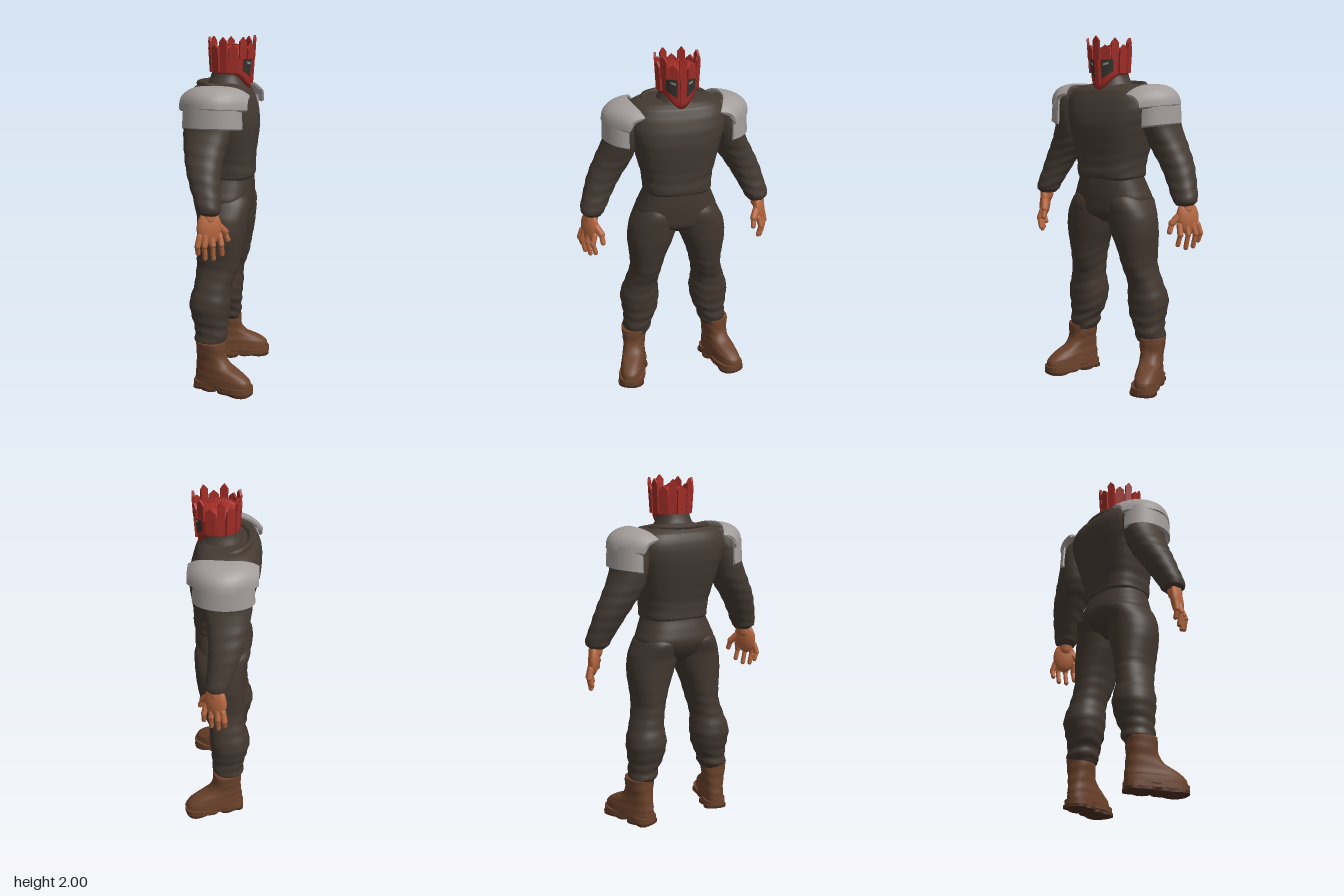
import * as THREE from 'three';
import { toCreasedNormals } from 'three/addons/utils/BufferGeometryUtils.js';

const mat = (name, color) => {
  const m = new THREE.MeshStandardMaterial({ color });
  m.name = name;
  return m;
};

// Skin rows of [x, y, z] points; closed rows wrap round and may get end caps.
function loft(rows, closed = true) {
  const n = rows[0].length, pos = rows.flat(2), idx = [];
  for (let i = 0; i < rows.length - 1; i++) {
    for (let j = 0; j < (closed ? n : n - 1); j++) {
      const k = (j + 1) % n, a = i * n + j, b = a + n, c = i * n + k, d = c + n;
      idx.push(a, b, c, b, d, c);
    }
  }
  if (closed) {
    [0, rows.length - 1].forEach((r) => {
      const m = pos.length / 3;
      for (let q = 0; q < 3; q++) pos.push(rows[r].reduce((s, p) => s + p[q], 0) / n);
      for (let j = 0; j < n; j++) {
        const a = r * n + j, b = r * n + (j + 1) % n;
        if (r) idx.push(m, b, a); else idx.push(m, a, b);
      }
    });
  }
  const g = new THREE.BufferGeometry();
  g.setAttribute('position', new THREE.Float32BufferAttribute(pos, 3));
  g.setIndex(idx);
  g.computeVertexNormals();
  return g;
}

// Rounded body from [y, xMin, xMax, zMin, zMax] rows, smoothed and creased by amp(y).
function body(rows, { power = 0.9, amp = () => 0, sides = 40, steps = 6 } = {}) {
  const at = (i) => rows[Math.max(0, Math.min(rows.length - 1, i))];
  const rings = [];
  for (let i = 0; i <= (rows.length - 1) * steps; i++) {
    const k = Math.floor(i / steps), t = (i % steps) / steps;
    const [y, x0, x1, z0, z1] = at(k).map((p1, q) => {
      const p0 = at(k - 1)[q], p2 = at(k + 1)[q], p3 = at(k + 2)[q];
      if (q === 0) return p1 + (p2 - p1) * t;
      return p1 + 0.5 * t * (p2 - p0 + t * (2 * p0 - 5 * p1 + 4 * p2 - p3 + t * (3 * (p1 - p2) + p3 - p0)));
    });
    const ring = [];
    for (let j = 0; j < sides; j++) {
      const a = (j / sides) * Math.PI * 2, c = Math.cos(a), s = Math.sin(a);
      const f = 1 + amp(y) * Math.sin(y * 95 + 2.2 * Math.sin(a + 1) + Math.cos(2 * a));
      ring.push([
        (x0 + x1) / 2 + (x1 - x0) / 2 * f * Math.sign(c) * Math.abs(c) ** power, y,
        (z0 + z1) / 2 + (z1 - z0) / 2 * f * Math.sign(s) * Math.abs(s) ** power]);
    }
    rings.push(ring);
  }
  return loft(rings);
}

// Copy reflected through z = 0.
function reflect(g) {
  const m = g.clone(), p = m.attributes.position, nr = m.attributes.normal;
  for (let i = 0; i < p.count; i++) { p.setZ(i, -p.getZ(i)); nr.setZ(i, -nr.getZ(i)); }
  const src = m.index ? Array.from(m.index.array) : Array.from({ length: p.count }, (_, i) => i);
  for (let i = 0; i < src.length; i += 3) [src[i + 1], src[i + 2]] = [src[i + 2], src[i + 1]];
  m.setIndex(src);
  return m;
}

// Capsule joining two points.
function bone(a, b, r) {
  const A = new THREE.Vector3(...a), B = new THREE.Vector3(...b), d = B.clone().sub(A);
  const g = new THREE.CapsuleGeometry(r, d.length(), 5, 12);
  g.applyQuaternion(new THREE.Quaternion().setFromUnitVectors(new THREE.Vector3(0, 1, 0), d.clone().normalize()));
  return g.translate(...A.add(B).multiplyScalar(0.5).toArray());
}

// Armour plate: point(u, v) gives the outer face, thickened toward the arm.
function plate(point) {
  const rows = [];
  for (let i = 0; i <= 20; i++) {
    const u = i / 10 - 1, outer = [], inner = [];
    for (let k = 0; k <= 8; k++) {
      const p = point(u, 1 - k / 8);
      outer.push(p);
      inner.unshift([-0.02 + (p[0] + 0.02) * 0.93, p[1] - 0.01, 0.25 + (p[2] - 0.25) * 0.9]);
    }
    rows.push([...outer, ...inner]);
  }
  return toCreasedNormals(loft(rows), 0.7);
}

// Helmet wall: angle a from the face, v from lower rim to brow.
function helmetPoint(a, v, s = 1) {
  const f = Math.max(0, Math.cos(a)), low = 1.79 - 0.085 * f ** 3;
  const r = s * (1 - (0.05 + 0.08 * f) * (1 - v));
  return [0.028 + 0.118 * r * Math.cos(a), low + (1.9 - low) * v, 0.11 * r * Math.sin(a)];
}
function helmetPatch(a0, a1, v0, v1, s) {
  const rows = [];
  for (let i = 0; i <= 6; i++) {
    rows.push(Array.from({ length: 9 }, (_, j) => helmetPoint(a0 + (a1 - a0) * j / 8, v0 + (v1 - v0) * i / 6, s)));
  }
  return loft(rows, false);
}

export function createModel() {
  const model = new THREE.Group();
  const shirt = mat('shirt brown', 0x443a32), trousers = mat('trouser brown', 0x42372f);
  const leather = mat('boot leather', 0x6a422b), soleMat = mat('sole brown', 0x4f3020);
  const skin = mat('skin', 0xb4663f), steel = mat('steel grey', 0xa29c9a);
  const red = mat('helmet red', 0xa02c26), shade = mat('face shadow', 0x35322d), eyeMat = mat('eye grey', 0x8f8d82);
  const add = (g, name, m) => {
    const mesh = new THREE.Mesh(g, m);
    mesh.name = name;
    model.add(mesh);
  };
  const pair = (g, name, m) => { add(g, name + 'Left', m); add(reflect(g), name + 'Right', m); };

  // Torso, collar and cowl fold
  const sym = (rows) => rows.map(([y, a, b, z]) => [y, a, b, -z, z]);
  add(body(sym([[1.2, -0.13, 0.15, 0.18], [1.22, -0.145, 0.16, 0.193], [1.3, -0.15, 0.16, 0.2],
    [1.4, -0.175, 0.17, 0.225], [1.5, -0.2, 0.18, 0.25], [1.58, -0.213, 0.172, 0.275], [1.65, -0.21, 0.152, 0.28],
    [1.7, -0.19, 0.13, 0.255], [1.725, -0.16, 0.1, 0.21], [1.737, -0.12, 0.07, 0.13]]),
  { power: 0.72, amp: (y) => (y < 1.36 ? 0.008 : 0.002) }), 'torso', shirt);
  add(body(sym([[1.67, -0.12, 0.12, 0.13], [1.705, -0.12, 0.125, 0.125], [1.74, -0.105, 0.1, 0.108],
    [1.775, -0.09, 0.085, 0.092], [1.82, -0.08, 0.08, 0.085]])), 'collar', shirt);
  const fold = [[0.02, 1.7, -0.17], [-0.08, 1.73, -0.165], [-0.14, 1.735, -0.08], [-0.15, 1.735, 0],
    [-0.14, 1.735, 0.08], [-0.08, 1.73, 0.165], [0.02, 1.7, 0.17]].map((p) => new THREE.Vector3(...p));
  add(new THREE.TubeGeometry(new THREE.CatmullRomCurve3(fold), 40, 0.018, 8), 'cowlFold', shirt);

  // Hips and trouser legs
  add(body(sym([[0.95, -0.07, 0.07, 0.05], [1.0, -0.13, 0.14, 0.17], [1.08, -0.172, 0.152, 0.232],
    [1.15, -0.16, 0.155, 0.212], [1.22, -0.138, 0.153, 0.186]]), { power: 0.8 }), 'hips', trousers);
  pair(body([[0.26, -0.12, 0.03, 0.17, 0.3], [0.29, -0.14, 0.042, 0.155, 0.32], [0.34, -0.14, 0.045, 0.145, 0.315],
    [0.4, -0.155, 0.05, 0.115, 0.32], [0.5, -0.175, 0.06, 0.1, 0.33], [0.6, -0.15, 0.065, 0.108, 0.3],
    [0.7, -0.14, 0.1, 0.092, 0.272], [0.8, -0.14, 0.12, 0.065, 0.278], [0.9, -0.14, 0.138, 0.025, 0.288],
    [1.0, -0.145, 0.148, 0.0, 0.276], [1.08, -0.165, 0.15, 0.01, 0.238], [1.14, -0.12, 0.12, 0.03, 0.2]],
  { amp: (y) => (y < 0.42 ? 0.032 : y < 0.78 ? 0.016 : 0.004) }), 'trouserLeg', trousers);

  // Sleeves
  pair(body([[1.08, -0.045, 0.045, 0.44, 0.53], [1.1, -0.068, 0.058, 0.422, 0.552], [1.14, -0.08, 0.058, 0.4, 0.55],
    [1.2, -0.105, 0.05, 0.368, 0.532], [1.3, -0.14, 0.047, 0.31, 0.5], [1.4, -0.165, 0.06, 0.245, 0.452],
    [1.5, -0.178, 0.085, 0.215, 0.405], [1.6, -0.175, 0.095, 0.2, 0.385], [1.67, -0.15, 0.08, 0.2, 0.34],
    [1.71, -0.1, 0.03, 0.22, 0.29]], { amp: (y) => (y < 1.45 ? 0.02 : 0.004) }), 'sleeve', shirt);

  // Hands
  const palm = new THREE.SphereGeometry(1, 24, 16).scale(0.068, 0.095, 0.032);
  pair(palm.rotateY(0.5).rotateX(-0.12).translate(0.002, 1.015, 0.508), 'palm', skin);
  pair(bone([-0.004, 1.12, 0.487], [0, 1.06, 0.497], 0.04), 'wrist', skin);
  [[-0.05, 0.88, 0.558], [-0.014, 0.851, 0.548], [0.026, 0.846, 0.525], [0.068, 0.866, 0.5]].forEach(([x, y, z], i) => {
    const root = [x * 0.8, 0.975, z - 0.012], mid = [x * 0.98, 0.925, z + 0.002];
    pair(bone(root, mid, 0.0165), 'fingerBase' + i, skin);
    pair(bone(mid, [x, y + 0.004, z - 0.012], 0.0135), 'fingerTip' + i, skin);
  });
  pair(bone([0.04, 1.03, 0.48], [0.075, 0.985, 0.452], 0.02), 'thumbBase', skin);
  pair(bone([0.075, 0.985, 0.452], [0.09, 0.94, 0.447], 0.015), 'thumbTip', skin);

  // Boots, turned outward
  const turn = (g) => g.rotateY(-0.33).translate(-0.045, 0, 0.255);
  pair(turn(body([[0.035, -0.095, 0.255, -0.07, 0.07], [0.06, -0.095, 0.255, -0.07, 0.07],
    [0.09, -0.092, 0.24, -0.068, 0.068], [0.12, -0.09, 0.19, -0.066, 0.066], [0.15, -0.085, 0.13, -0.064, 0.064],
    [0.19, -0.082, 0.093, -0.066, 0.066], [0.24, -0.082, 0.085, -0.073, 0.073], [0.285, -0.084, 0.084, -0.076, 0.076]],
  { power: 0.8, amp: (y) => (y > 0.08 ? 0.014 : 0) })), 'boot', leather);
  const outline = new THREE.Shape();
  outline.moveTo(-0.1, 0);
  outline.bezierCurveTo(-0.1, 0.085, -0.02, 0.07, 0.05, 0.064);
  outline.bezierCurveTo(0.15, 0.1, 0.265, 0.085, 0.265, 0);
  outline.bezierCurveTo(0.265, -0.085, 0.15, -0.085, 0.05, -0.064);
  outline.bezierCurveTo(-0.02, -0.07, -0.1, -0.085, -0.1, 0);
  const slab = (h, y) => new THREE.ExtrudeGeometry(outline, { depth: h, bevelEnabled: false, curveSegments: 10 })
    .rotateX(-Math.PI / 2).translate(0, y, 0);
  pair(turn(slab(0.03, 0.016)), 'sole', leather);
  pair(turn(slab(0.016, 0).scale(0.45, 1, 0.98).translate(-0.052, 0, 0)), 'heelTread', soleMat);
  pair(turn(slab(0.016, 0).scale(0.55, 1, 0.98).translate(0.115, 0, 0)), 'toeTread', soleMat);

  // Shoulder armour
  pair(plate((u, v) => {
    const zi = 0.262 - 0.055 * u * u, zo = 0.415 - 0.12 * u * u, a = v * Math.PI / 2;
    return [-0.02 + 0.187 * u, 1.612 + 0.015 * (1 - u * u) + (0.11 - 0.04 * u ** 4) * Math.cos(a) ** 0.8,
      zi + (zo - zi) * Math.sin(a)];
  }), 'upperShoulderPlate', steel);
  pair(plate((u, v) => {
    const t = u * 1.5, r = 0.95 + 0.05 * v;
    return [-0.025 + 0.167 * r * Math.sin(t), 1.645 - v * (0.135 - 0.015 * Math.cos(t)), 0.283 + 0.13 * r * Math.cos(t)];
  }), 'lowerShoulderPlate', steel);

  // Helmet shell with domed top
  const rings = [];
  for (let i = 0; i <= 12; i++) {
    rings.push(Array.from({ length: 40 }, (_, j) => {
      const a = j / 40 * Math.PI * 2;
      if (i <= 7) return helmetPoint(a, i / 7);
      const e = (i - 7) / 5 * 1.5;
      return [0.028 + 0.118 * Math.cos(e) * Math.cos(a), 1.9 + 0.045 * Math.sin(e), 0.11 * Math.cos(e) * Math.sin(a)];
    }));
  }
  add(loft(rings), 'helmet', red);
  add(new THREE.TorusGeometry(1, 0.07, 6, 24, Math.PI).scale(0.11, 0.048, 0.11).translate(0.028, 1.9, 0), 'domeRidge', red);
  add(new THREE.BoxGeometry(0.016, 0.15, 0.024).rotateZ(-0.07).translate(0.143, 1.81, 0), 'noseGuard', red);
  pair(helmetPatch(0.24, 0.85, 0.3, 0.84, 1.02), 'eyeOpening', shade);
  pair(helmetPatch(0.33, 0.6, 0.66, 0.73, 1.03), 'eye', eyeMat);

  // Crown of pointed plates
  const count = 14;
  for (let i = 0; i < count; i++) {
    const a = i / count * Math.PI * 2, tall = i % 2 === 0, w = tall ? 0.02 : 0.026;
    const low = Math.cos(a) > 0.45 ? -0.01 : -0.085, top = i === 0 ? 0.118 : tall ? 0.108 : 0.07;
    const s = new THREE.Shape([[-w, low], [w, low], [w * 1.05, top - 0.025], [0, top], [-w * 1.05, top - 0.025]]
      .map((p) => new THREE.Vector2(...p)));
    const g = new THREE.ExtrudeGeometry(s, { depth: 0.013, bevelEnabled: false });
    g.rotateX(0.06).rotateY(Math.PI / 2 - a).translate(0.028 + 0.115 * Math.cos(a), 1.882, 0.107 * Math.sin(a));
    add(g, 'crownPlate' + i, red);
  }
  return model;
}
